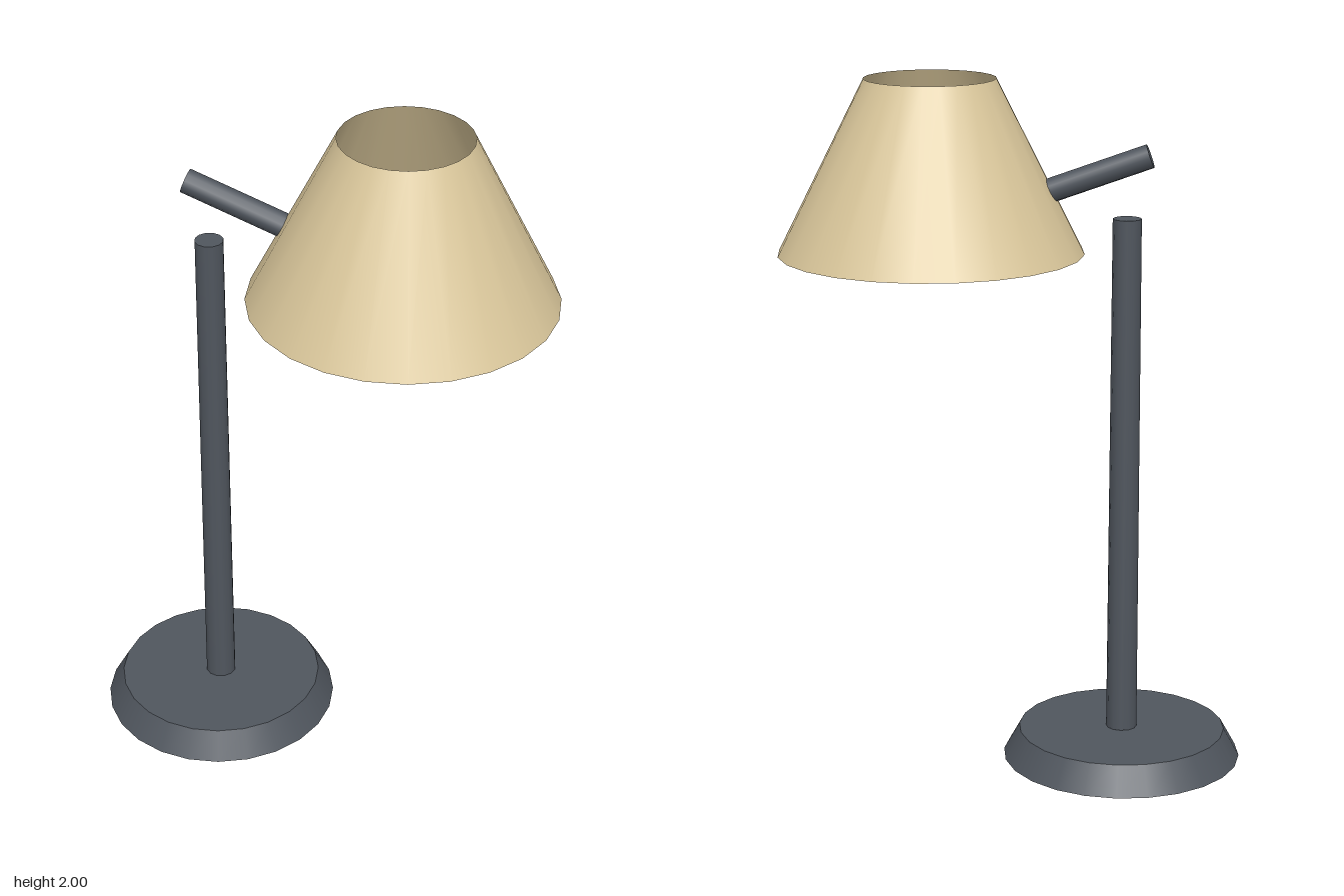
import * as THREE from 'three';

export function createModel() {
  const lamp = new THREE.Group();
  lamp.name = 'deskLamp';

  const darkMetal = new THREE.MeshStandardMaterial({ color: 0x50565e });
  darkMetal.name = 'darkMetal';
  const creamFabric = new THREE.MeshStandardMaterial({ color: 0xdac79b, side: THREE.DoubleSide });
  creamFabric.name = 'creamFabric';

  const add = (name, geometry, material, x, y) => {
    const mesh = new THREE.Mesh(geometry, material);
    mesh.name = name;
    mesh.position.set(x, y, 0);
    lamp.add(mesh);
    return mesh;
  };

  const poleX = -0.323;
  const bulb = new THREE.Vector2(0.233, 1.565);

  // Tapered foot and upright pole
  add('base', new THREE.CylinderGeometry(0.303, 0.349, 0.083, 24), darkMetal, poleX, 0.0415);
  add('pole', new THREE.CylinderGeometry(0.041, 0.045, 1.525, 12), darkMetal, poleX, 0.8475);

  // Sloping arm from above the pole down to the bulb
  const armEnd = new THREE.Vector2(-0.386, 1.788);
  const along = armEnd.clone().sub(bulb);
  const arm = add('arm', new THREE.CylinderGeometry(0.035, 0.035, along.length(), 12), darkMetal,
    (armEnd.x + bulb.x) / 2, (armEnd.y + bulb.y) / 2);
  arm.rotation.z = along.angle() - Math.PI / 2;

  // Open conical shade with the bulb inside
  add('shade', new THREE.CylinderGeometry(0.187, 0.437, 0.495, 24, 1, true), creamFabric, bulb.x, 1.7525);
  add('bulb', new THREE.SphereGeometry(0.115, 14, 10), creamFabric, bulb.x, bulb.y);

  return lamp;
}
